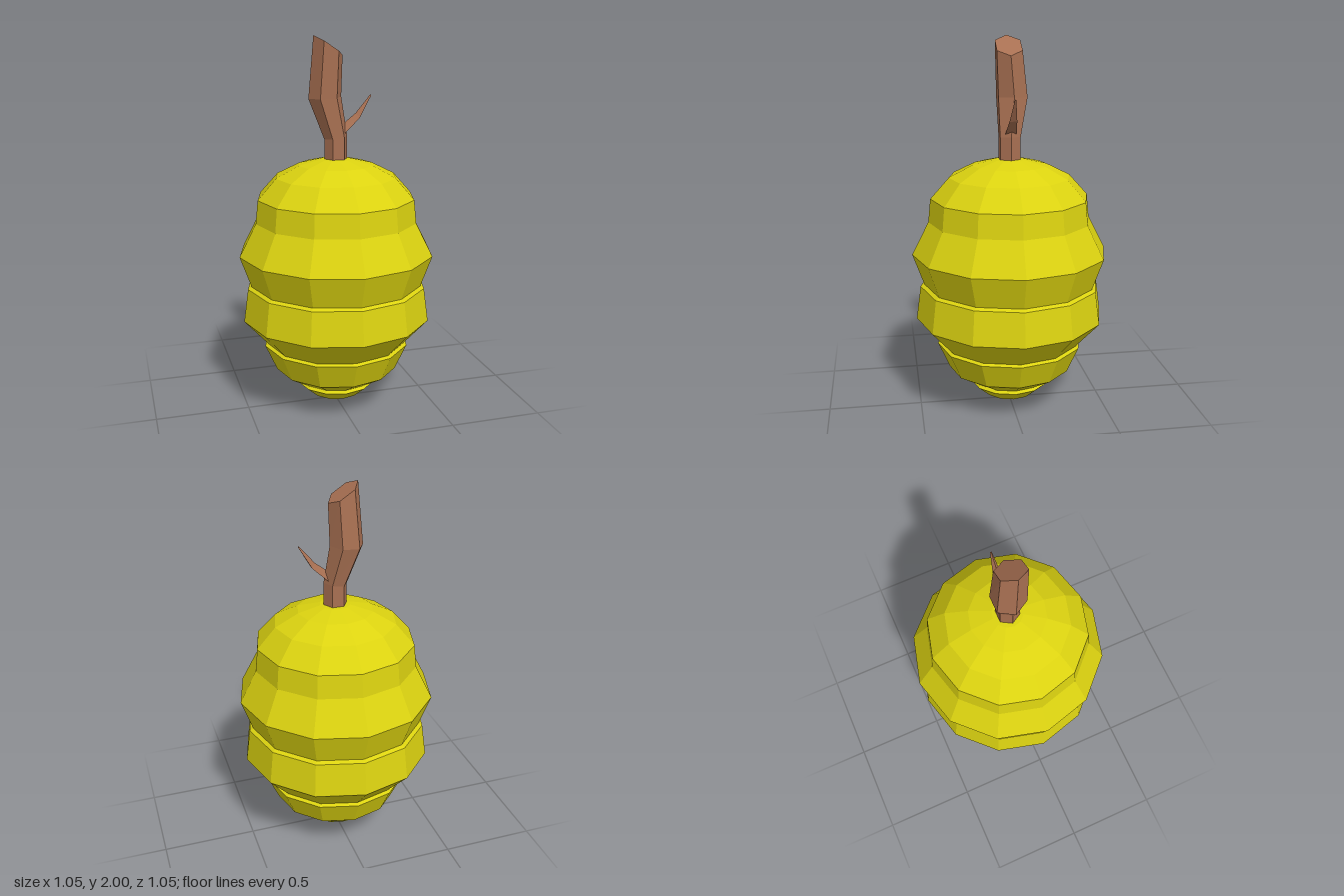
import * as THREE from 'three';

// Skin a stack of equal-sized rings of [x, y, z] points, closing the last ring
function loft(rings) {
  const pos = [];
  const n = rings[0].length;
  for (let r = 0; r < rings.length - 1; r++) {
    for (let i = 0; i < n; i++) {
      const j = (i + 1) % n;
      const a = rings[r][i], b = rings[r][j], c = rings[r + 1][i], d = rings[r + 1][j];
      pos.push(...a, ...c, ...b, ...b, ...c, ...d);
    }
  }
  const top = rings[rings.length - 1];
  for (let i = 1; i < n - 1; i++) pos.push(...top[0], ...top[i + 1], ...top[i]);
  const geo = new THREE.BufferGeometry();
  geo.setAttribute('position', new THREE.Float32BufferAttribute(pos, 3));
  geo.computeVertexNormals();
  return geo;
}

// Six-sided ring, its height tilting with x by the given slope
function hexRing(cx, y, cz, radius, slope = 0) {
  return Array.from({ length: 6 }, (_, i) => {
    const a = (i * Math.PI) / 3;
    const dx = Math.cos(a) * radius;
    return [cx + dx, y + slope * dx, cz + Math.sin(a) * radius];
  });
}

// Three-sided twig ring: a ridge on top and two lower corners
function twigRing(ridge, low, halfWidth) {
  return [[...ridge, 0], [...low, -halfWidth], [...low, halfWidth]];
}

export function createModel() {
  const model = new THREE.Group();
  const yellow = new THREE.MeshStandardMaterial({ color: 0xdcd310, flatShading: true });
  yellow.name = 'hive yellow';
  const brown = new THREE.MeshStandardMaterial({ color: 0xa87052, flatShading: true });
  brown.name = 'bark brown';

  const add = (name, geometry, material) => {
    const mesh = new THREE.Mesh(geometry, material);
    mesh.name = name;
    model.add(mesh);
  };

  // Layered hive body, with small ledges between the bands
  const profile = [
    [0, 0], [0.14, 0.05], [0.215, 0.115], [0.2, 0.128],
    [0.335, 0.21], [0.398, 0.352], [0.38, 0.362],
    [0.51, 0.505], [0.485, 0.685], [0.465, 0.697],
    [0.525, 0.865], [0.435, 1.04], [0.422, 1.165],
    [0.323, 1.275], [0.2, 1.337], [0.08, 1.366], [0, 1.37],
  ].map(([r, y]) => new THREE.Vector2(r, y));
  add('hive', new THREE.LatheGeometry(profile, 12), yellow);

  // Bent branch with a slanted cut at the top
  add('branch', loft([
    hexRing(0, 1.34, 0, 0.062),
    hexRing(0, 1.48, 0, 0.062, 0.15),
    hexRing(-0.053, 1.685, -0.02, 0.088, 0.05),
    hexRing(-0.04, 1.95, -0.002, 0.077, -0.65),
  ]), brown);

  // Side twig tapering to a point
  add('twig', loft([
    twigRing([0.03, 1.54], [0.03, 1.49], 0.031),
    twigRing([0.108, 1.602], [0.125, 1.578], 0.02),
    twigRing([0.188, 1.697], [0.192, 1.692], 0.004),
  ]), brown);

  return model;
}
